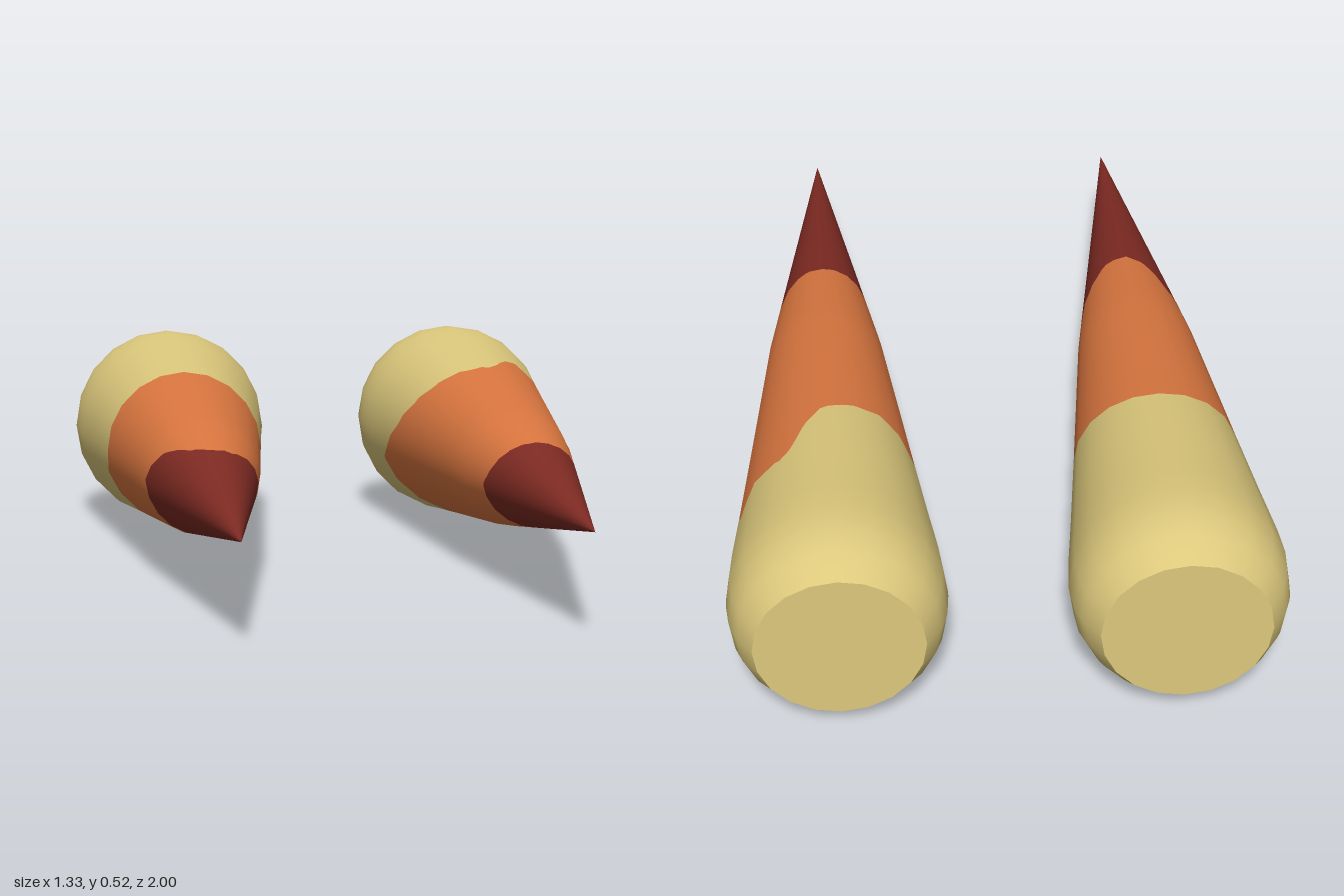
import * as THREE from 'three';

const CY = 0.2625; // height of the spike axis
const SIDES = 20, SEGS = 120;

// spike profile: [z, radius] from base to tip
const PROFILE = [[-1, 0.203], [-0.95, 0.238], [-0.9, 0.256], [-0.83, 0.2625], [-0.75, 0.256],
  [-0.6, 0.236], [-0.36, 0.206], [0.1, 0.15], [1, 0]];

// ragged colour borders: [angle in degrees, z], angle from +x towards +y
const SPIKES = [
  {
    name: 'leftSpike', x: 0.405,
    base: [[-90, -0.43], [-80, -0.56], [-66, -0.62], [-57, -0.65], [-43, -0.63], [-15, -0.62], [2, -0.59],
      [9, -0.54], [16, -0.57], [20, -0.64], [25, -0.59], [37, -0.55], [57, -0.54], [64, -0.51], [75, -0.41],
      [84, -0.36], [100, -0.345], [130, -0.35], [150, -0.39], [170, -0.46], [185, -0.54], [200, -0.62],
      [215, -0.6], [243, -0.53], [258, -0.46], [270, -0.43]],
    tip: [[-90, 0.35], [-65, 0.34], [-45, 0.29], [-28, 0.26], [-5, 0.25], [18, 0.28], [38, 0.32],
      [65, 0.35], [100, 0.355], [130, 0.345], [160, 0.32], [185, 0.28], [210, 0.3], [240, 0.34], [270, 0.35]],
  },
  {
    name: 'rightSpike', x: -0.405,
    base: [[-90, -0.37], [-65, -0.39], [-45, -0.36], [-20, -0.39], [0, -0.36], [45, -0.36], [90, -0.365],
      [135, -0.36], [180, -0.36], [200, -0.41], [225, -0.38], [245, -0.4], [270, -0.37]],
    tip: [[-90, 0.15], [-60, 0.16], [-30, 0.17], [0, 0.2], [30, 0.27], [60, 0.34], [90, 0.355],
      [115, 0.32], [140, 0.22], [165, 0.16], [180, 0.13], [225, 0.15], [270, 0.15]],
  },
];

function interpolate(table, v) {
  for (let i = 1; i < table.length; i++) {
    const [a, fa] = table[i - 1], [b, fb] = table[i];
    if (v <= b) return fa + (fb - fa) * Math.max(0, (v - a) / (b - a));
  }
  return table[table.length - 1][1];
}

const radius = (z) => interpolate(PROFILE, z);

// keeps the outline of a regular polygon
function facet(a) {
  const step = (2 * Math.PI) / SIDES;
  const d = a - (Math.floor(a / step + 1e-6) + 0.5) * step;
  return Math.cos(step / 2) / Math.cos(d);
}

// wraps a sheet around the spike between two borders
function band(back, front, rows) {
  const geo = new THREE.PlaneGeometry(1, 1, SEGS, rows);
  const pos = geo.attributes.position, nor = geo.attributes.normal;
  const n = new THREE.Vector3();
  for (let i = 0; i < pos.count; i++) {
    const deg = -90 + 360 * (pos.getX(i) + 0.5);
    const a = THREE.MathUtils.degToRad(deg);
    const z = THREE.MathUtils.lerp(back(deg), front(deg), pos.getY(i) + 0.5);
    const r = radius(z) * facet(a);
    pos.setXYZ(i, Math.cos(a) * r, Math.sin(a) * r, z);
    const z0 = Math.max(-1, z - 0.04), z1 = Math.min(1, z + 0.04);
    const slope = (radius(z1) - radius(z0)) / (z1 - z0);
    n.set(Math.cos(a), Math.sin(a), -slope).normalize();
    nor.setXYZ(i, n.x, n.y, n.z);
  }
  return geo;
}

export function createModel() {
  const cream = new THREE.MeshStandardMaterial({ name: 'cream', color: 0xdcc87c });
  const orange = new THREE.MeshStandardMaterial({ name: 'orange', color: 0xdb7740 });
  const darkRed = new THREE.MeshStandardMaterial({ name: 'darkRed', color: 0x7f2b23 });

  const model = new THREE.Group();
  model.name = 'spikePair';

  for (const spec of SPIKES) {
    const spike = new THREE.Group();
    spike.name = spec.name;
    spike.position.set(spec.x, CY, 0);
    const add = (name, geo, mat) => {
      const mesh = new THREE.Mesh(geo, mat);
      mesh.name = name;
      spike.add(mesh);
      return mesh;
    };
    const baseEdge = (deg) => interpolate(spec.base, deg);
    const tipEdge = (deg) => interpolate(spec.tip, deg);

    add('baseBand', band(() => -1, baseEdge, 30), cream);
    add('middleBand', band(baseEdge, tipEdge, 20), orange);
    add('tip', band(tipEdge, () => 1, 16), darkRed);

    // flat end of the base
    const cap = add('baseCap', new THREE.CircleGeometry(radius(-1), SIDES), cream);
    cap.rotation.y = Math.PI;
    cap.position.z = -1;
    model.add(spike);
  }
  return model;
}
